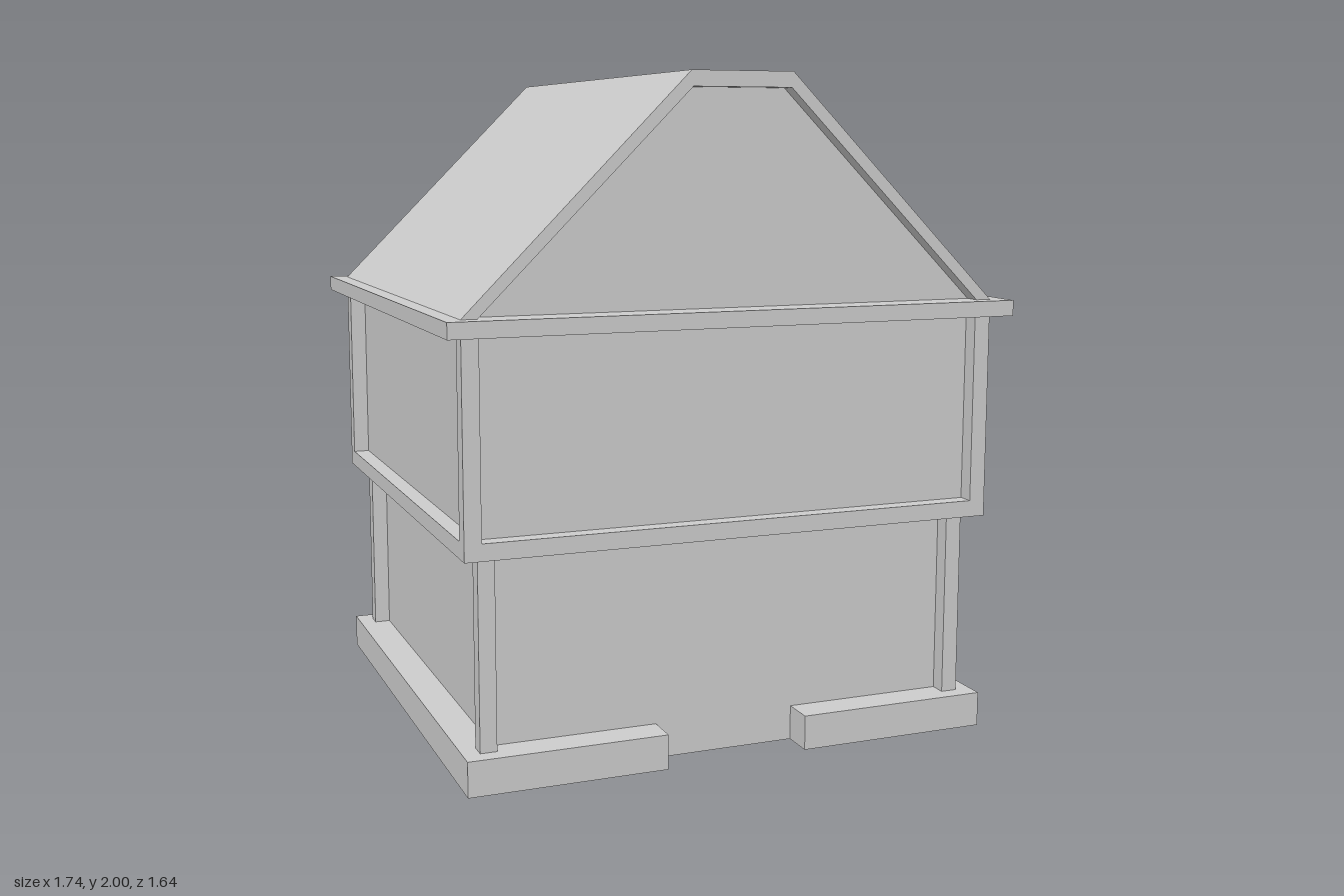
import * as THREE from 'three';

const material = new THREE.MeshStandardMaterial({ color: 0xcccccc, flatShading: true });

function add(parent, name, geometry) {
  const mesh = new THREE.Mesh(geometry, material);
  mesh.name = name;
  parent.add(mesh);
  return mesh;
}

// Box given by half extents in x and z and a bottom and top height
function slab(parent, name, hx, hz, y0, y1) {
  const mesh = add(parent, name, new THREE.BoxGeometry(hx * 2, y1 - y0, hz * 2));
  mesh.position.y = (y0 + y1) / 2;
  return mesh;
}

// Outline extruded along z, centred on z = 0
function prism(points, depth) {
  const shape = new THREE.Shape(points.map(([x, y]) => new THREE.Vector2(x, y)));
  return new THREE.ExtrudeGeometry(shape, { depth, bevelEnabled: false }).translate(0, 0, -depth / 2);
}

const POST = 0.05;

// Recessed wall block with a square post at each outer corner
function storey(name, hx, hz, y0, y1) {
  const group = new THREE.Group();
  group.name = name;
  slab(group, 'walls', hx - POST, hz - POST, y0, y1);
  for (const sx of [-1, 1]) {
    for (const sz of [-1, 1]) {
      const post = slab(group, 'cornerPost', POST / 2, POST / 2, y0, y1);
      post.position.x = sx * (hx - POST / 2);
      post.position.z = sz * (hz - POST / 2);
    }
  }
  return group;
}

export function createModel() {
  const model = new THREE.Group();
  model.name = 'house';

  // Plinth with a doorway notch at the front and back
  const plinth = prism([
    [-0.82, -0.77], [-0.22, -0.77], [-0.22, -0.67], [0.22, -0.67], [0.22, -0.77], [0.82, -0.77],
    [0.82, 0.77], [0.22, 0.77], [0.22, 0.67], [-0.22, 0.67], [-0.22, 0.77], [-0.82, 0.77],
  ], 0.105);
  plinth.rotateX(-Math.PI / 2).translate(0, 0.0525, 0);
  add(model, 'plinth', plinth);

  // Two storeys, the upper one overhanging on a floor slab
  model.add(storey('lowerStorey', 0.77, 0.72, 0.105, 0.67));
  slab(model, 'upperFloor', 0.82, 0.77, 0.67, 0.72);
  model.add(storey('upperStorey', 0.82, 0.77, 0.72, 1.288));
  slab(model, 'eaves', 0.87, 0.82, 1.288, 1.335);

  // Flat-topped roof shell with recessed gable walls
  const inner = [[-0.773, 1.335], [-0.15, 1.955], [0.15, 1.955], [0.773, 1.335]];
  const outer = [[0.82, 1.335], [0.155, 2], [-0.155, 2], [-0.82, 1.335]];
  add(model, 'roof', prism([...inner, ...outer], 1.54));
  add(model, 'gables', prism(inner, 1.44));

  return model;
}
